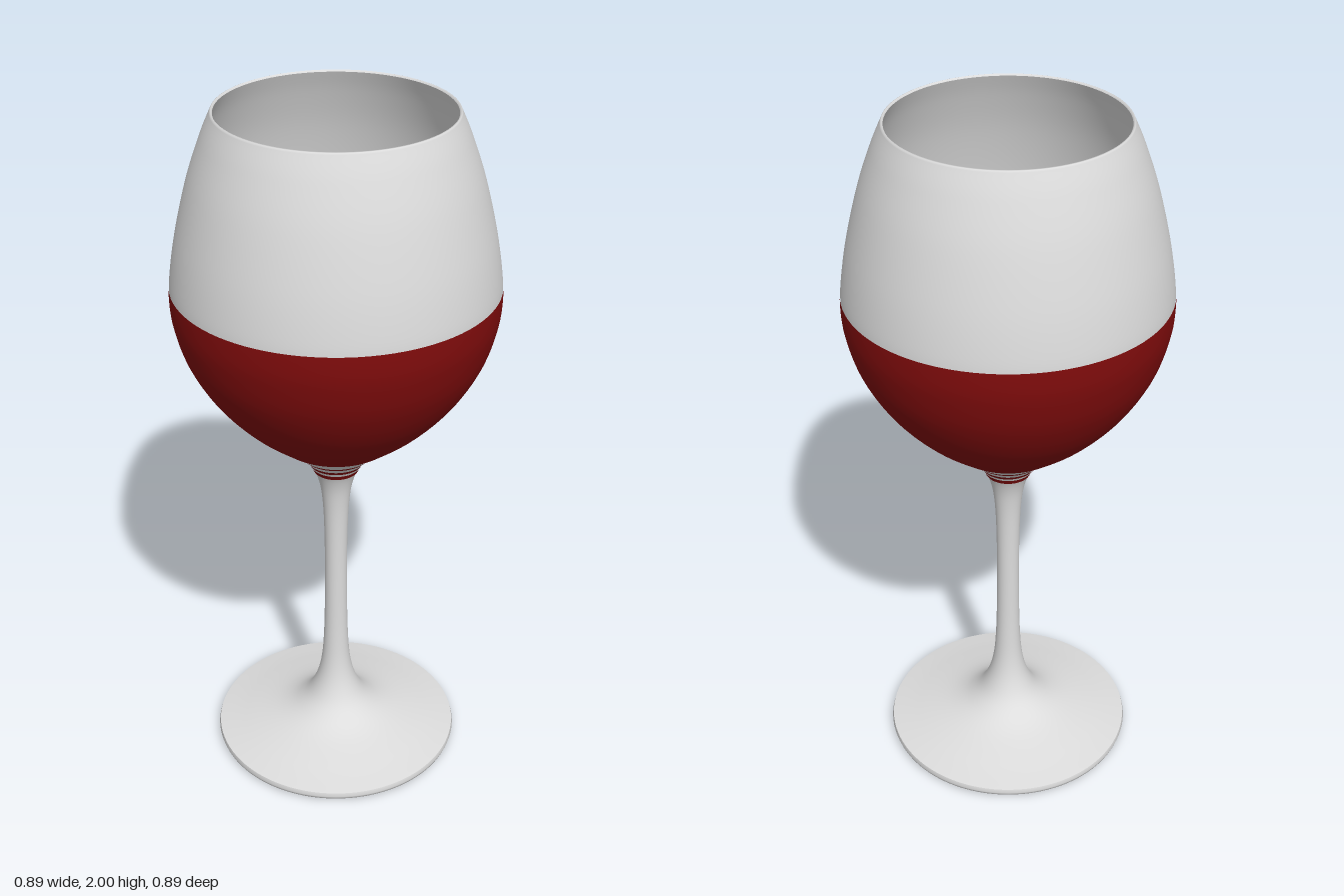
import * as THREE from 'three';

const SEGMENTS = 96;
const FILL = 1.52;      // height of the wine line
const WALL = 0.008;     // glass thickness

const vec = ([x, y]) => new THREE.Vector2(x, y);
const spline = (pts, n) => new THREE.SplineCurve(pts.map(vec)).getPoints(n);

// Outer silhouette from the foot's upper edge to the rim
const outer = spline([
  [0.363, 0.026], [0.28, 0.043], [0.17, 0.072], [0.108, 0.108], [0.07, 0.16], [0.046, 0.24],
  [0.036, 0.36], [0.033, 0.55], [0.034, 0.72], [0.039, 0.83], [0.05, 0.9], [0.073, 0.955],
  [0.112, 1.0], [0.17, 1.045], [0.265, 1.125], [0.348, 1.22], [0.408, 1.325], [0.438, 1.425],
  [0.445, 1.5], [0.44, 1.57], [0.421, 1.68], [0.386, 1.82], [0.348, 1.93], [0.32, 1.995],
], 200);

// Radius of the silhouette at a height
function radiusAt(y) {
  for (let i = 1; i < outer.length; i++) {
    const a = outer[i - 1], b = outer[i];
    if (b.y >= y) return THREE.MathUtils.lerp(a.x, b.x, (y - a.y) / (b.y - a.y));
  }
  return outer[outer.length - 1].x;
}

// Profile following the silhouette between two heights at a given offset
function band(y0, y1, offset, n) {
  return Array.from({ length: n + 1 }, (_, i) => {
    const y = y0 + (y1 - y0) * i / n;
    return new THREE.Vector2(radiusAt(y) + offset, y);
  });
}

export function createModel() {
  const group = new THREE.Group();
  const glass = new THREE.MeshStandardMaterial({ color: 0xdcdcdc });
  const wine = new THREE.MeshStandardMaterial({ color: 0x800c0c });

  const addLathe = (name, profile, material) => {
    const mesh = new THREE.Mesh(new THREE.LatheGeometry(profile, SEGMENTS), material);
    mesh.name = name;
    group.add(mesh);
  };

  // Foot: flat underside and thin rounded edge
  addLathe('footUnderside', [[0, 0], [0.355, 0]].map(vec), glass);
  addLathe('footEdge', [[0.355, 0], [0.363, 0.006], [0.366, 0.015], [0.363, 0.026]].map(vec), glass);

  // Foot top, stem and outside of the bowl
  addLathe('stemAndBowl', outer, glass);

  // Rounded rim and the inside of the bowl above the wine
  addLathe('rim', [[0.32, 1.995], [0.318, 1.999], [0.315, 2], [0.312, 1.995]].map(vec), glass);
  addLathe('bowlInside', band(1.995, FILL, -WALL, 30), glass);

  // Wine lining the inside of the bowl
  const bottom = spline([[radiusAt(1.13) - WALL, 1.13], [0.19, 1.078], [0.1, 1.042], [0, 1.03]], 16);
  addLathe('wineInside', [...band(FILL, 1.13, -WALL, 30), ...bottom.slice(1)], wine);

  // Wine seen through the outside of the bowl, with thin rings at its neck
  addLathe('wineOutside', band(1.042, FILL + 0.005, 0.0015, 40), wine);
  for (const [y0, y1] of [[0.935, 0.95], [0.96, 0.972], [0.988, 0.998]]) {
    addLathe('wineNeckRing', band(y0, y1, 0.002, 3), wine);
  }

  return group;
}
